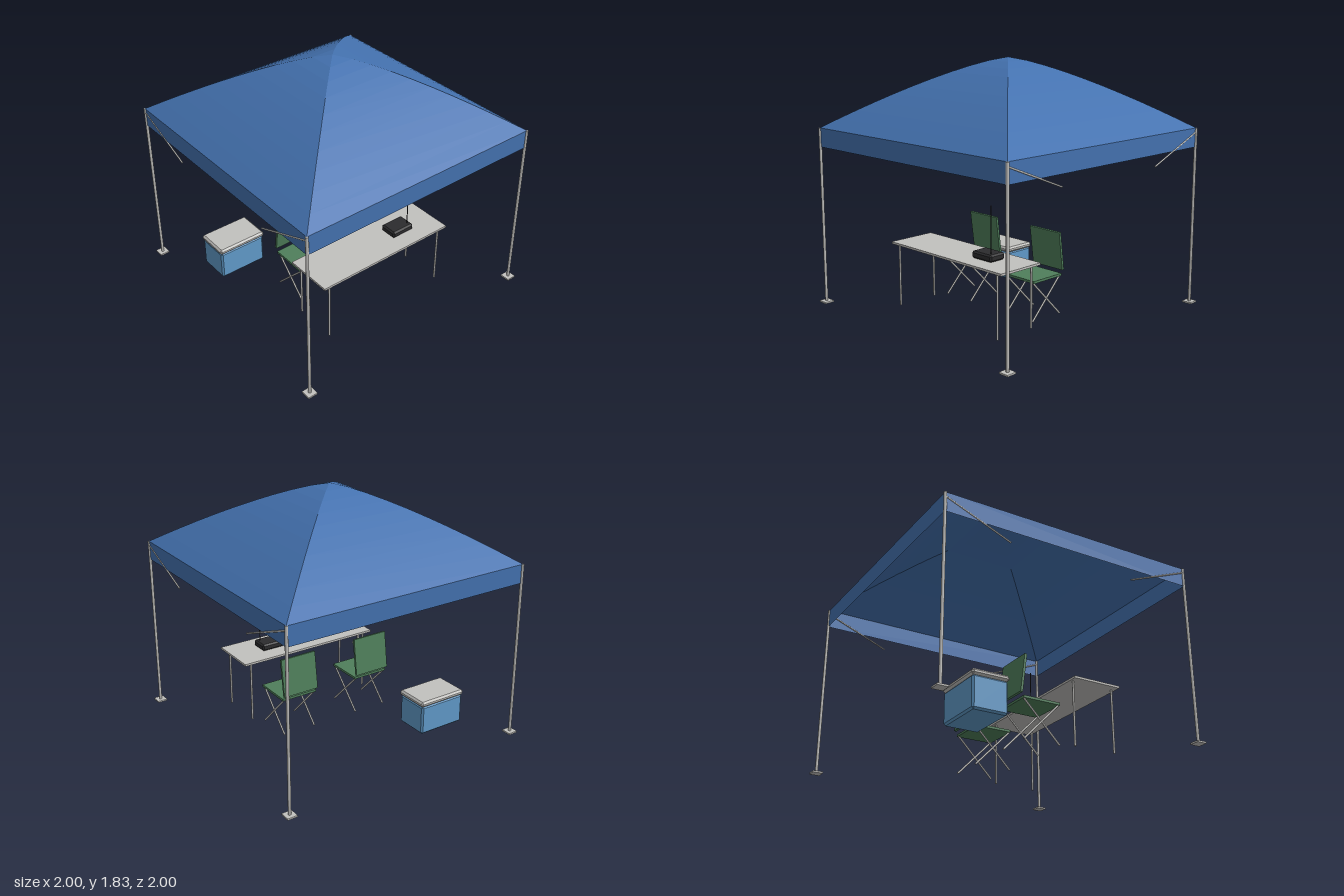
import * as THREE from 'three';
import { ConvexGeometry } from 'three/addons/geometries/ConvexGeometry.js';

const mat = (name, color, extra = {}) => {
  const m = new THREE.MeshStandardMaterial({ color, ...extra });
  m.name = name;
  return m;
};

export function createModel() {
  const fabric = mat('canopy blue', 0x4472b0, { side: THREE.DoubleSide });
  const metal = mat('light grey', 0xc2c1be);
  const green = mat('chair green', 0x4f7f5b);
  const cyan = mat('cooler blue', 0x619bca);
  const dark = mat('charcoal', 0x2c2c2e);

  const model = new THREE.Group();
  model.name = 'canopyTent';

  const add = (parent, name, geometry, material, x = 0, y = 0, z = 0) => {
    const mesh = new THREE.Mesh(geometry, material);
    mesh.name = name;
    mesh.position.set(x, y, z);
    parent.add(mesh);
    return mesh;
  };
  const group = (name, parent = model) => {
    const g = new THREE.Group();
    g.name = name;
    parent.add(g);
    return g;
  };
  // Round rod between two points
  const rod = (parent, name, a, b, radius, material = metal) => {
    const p = new THREE.Vector3(...a), q = new THREE.Vector3(...b);
    const dir = q.clone().sub(p);
    const mesh = add(parent, name, new THREE.CylinderGeometry(radius, radius, dir.length(), 10), material);
    mesh.position.copy(p).add(q).multiplyScalar(0.5);
    mesh.quaternion.setFromUnitVectors(new THREE.Vector3(0, 1, 0), dir.normalize());
    return mesh;
  };
  // Box with every edge cut at an angle
  const chamferBox = (w, h, d, c) => {
    const pts = [];
    for (const x of [-1, 1]) for (const y of [-1, 1]) for (const z of [-1, 1]) {
      for (let full = 0; full < 3; full++) {
        pts.push(new THREE.Vector3(
          x * (w / 2 - (full === 0 ? 0 : c)),
          y * (h / 2 - (full === 1 ? 0 : c)),
          z * (d / 2 - (full === 2 ? 0 : c))));
      }
    }
    return new ConvexGeometry(pts);
  };

  // Canopy: four-sided lathe with valance and bowed roof
  const half = 0.9635, eave = 1.32, rise = 0.512, steps = 10;
  const profile = [new THREE.Vector2(half * Math.SQRT2, 1.18)];
  for (let i = 0; i <= steps; i++) {
    const r = 1 - i / steps;
    profile.push(new THREE.Vector2(r * half * Math.SQRT2, eave + rise * (1 - Math.pow(r, 1.3))));
  }
  const roof = new THREE.LatheGeometry(profile, 4, Math.PI / 4).toNonIndexed();
  roof.computeVertexNormals();
  add(model, 'canopy', roof, fabric);

  // Poles, foot plates and braces at the corners
  for (const sx of [-1, 1]) for (const sz of [-1, 1]) {
    const corner = group('cornerPost');
    const x = sx * 0.9625, z = sz * 0.9625;
    rod(corner, 'pole', [x, 0, z], [x, eave, z], 0.011);
    add(corner, 'footPlate', new THREE.BoxGeometry(0.075, 0.012, 0.075), metal, x, 0.006, z);
    rod(corner, 'brace', [x, 1.29, z], [sx * 0.482, 1.098, z], 0.006);
  }

  // Table
  const table = group('table');
  add(table, 'tableTop', new THREE.BoxGeometry(0.376, 0.016, 1.15), metal, 0.448, 0.472, 0);
  for (const x of [0.286, 0.61]) for (const z of [-0.514, 0.514]) {
    rod(table, 'tableLeg', [x, 0, z], [x, 0.465, z], 0.008);
  }

  // Radio with antenna
  const radio = group('radio');
  add(radio, 'radioBody', chamferBox(0.138, 0.052, 0.192, 0.012), dark, 0.447, 0.508, -0.256);
  rod(radio, 'antenna', [0.48, 0.52, -0.32], [0.48, 0.872, -0.32], 0.0035, dark);

  // Two folding chairs facing the table
  for (const z of [-0.32, 0.32]) {
    const chair = group('chair');
    chair.position.z = z;
    add(chair, 'seat', new THREE.BoxGeometry(0.287, 0.018, 0.287), green, 0.063, 0.299, 0);
    const back = add(chair, 'backrest', new THREE.BoxGeometry(0.018, 0.285, 0.287), green, -0.079, 0.471, 0);
    back.rotation.z = -0.13;
    for (const s of [-0.13, 0.13]) {
      rod(chair, 'crossLeg', [-0.076, 0.294, s], [0.204, 0.008, s], 0.007);
      rod(chair, 'crossLeg', [0.204, 0.294, s], [-0.076, 0.008, s], 0.007);
    }
  }

  // Cooler
  const cooler = group('cooler');
  add(cooler, 'coolerBody', chamferBox(0.256, 0.226, 0.38, 0.013), cyan, -0.513, 0.119, 0.575);
  add(cooler, 'coolerLid', chamferBox(0.27, 0.042, 0.398, 0.014), metal, -0.512, 0.249, 0.575);

  return model;
}
